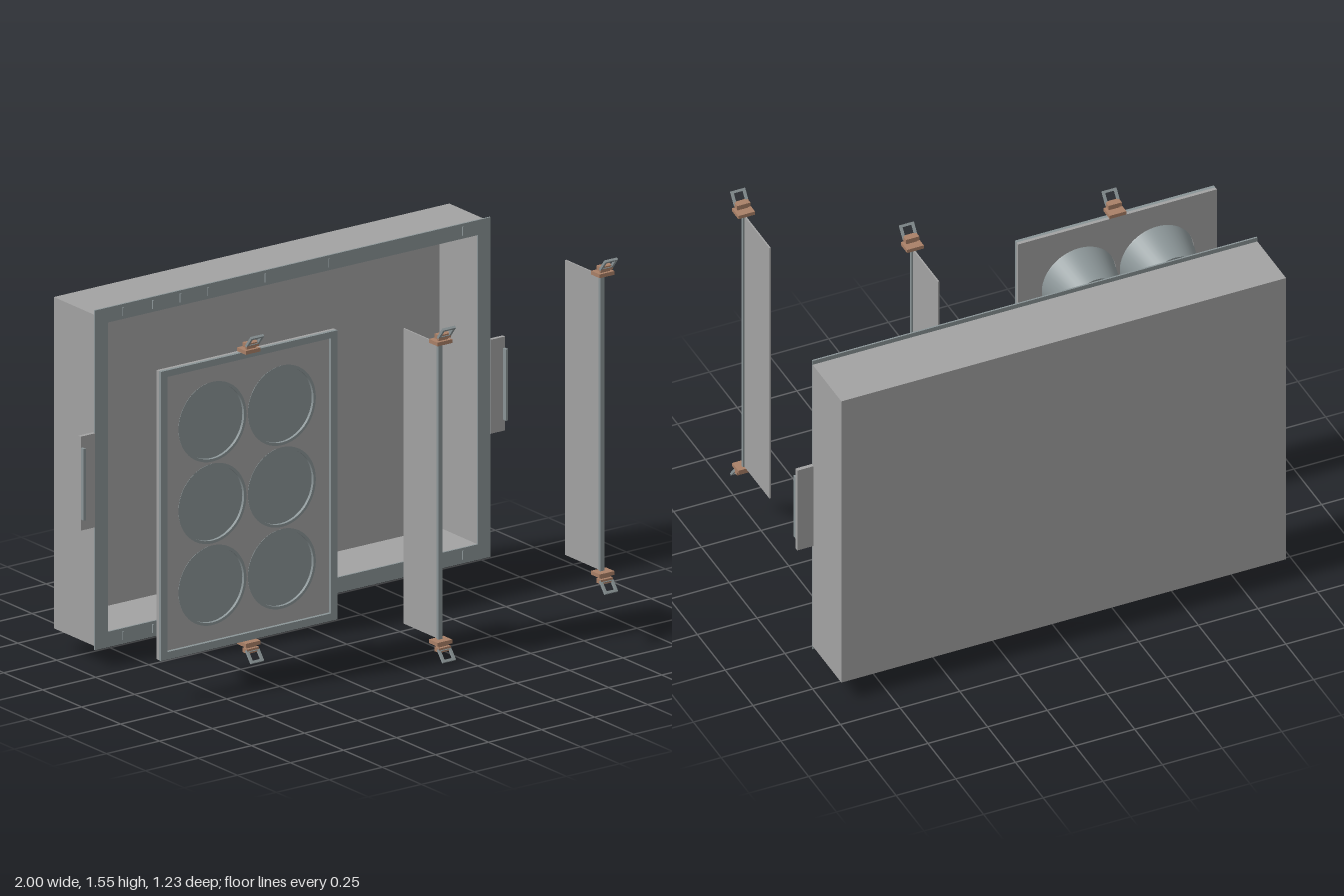
import * as THREE from 'three';

const grey = new THREE.MeshStandardMaterial({ color: 0xa2a2a2, flatShading: true });
const steel = new THREE.MeshStandardMaterial({ color: 0x8a9496, flatShading: true });
const cupSteel = new THREE.MeshStandardMaterial({ color: 0x8a9496, side: THREE.DoubleSide });
const copper = new THREE.MeshStandardMaterial({ color: 0xa98067, flatShading: true });

// Box given by its limits on each axis
function block(parent, name, [x0, x1], [y0, y1], [z0, z1], mat = grey) {
  const m = new THREE.Mesh(new THREE.BoxGeometry(x1 - x0, y1 - y0, z1 - z0), mat);
  m.position.set((x0 + x1) / 2, (y0 + y1) / 2, (z0 + z1) / 2);
  m.name = name;
  parent.add(m);
}

function rect(target, x0, x1, y0, y1) {
  target.moveTo(x0, y0);
  target.lineTo(x1, y0);
  target.lineTo(x1, y1);
  target.lineTo(x0, y1);
  target.closePath();
  return target;
}

// Plate with holes, extruded from z0 to z1
function plate(parent, name, outline, holes, z0, z1, mat) {
  outline.holes.push(...holes);
  const geo = new THREE.ExtrudeGeometry(outline, { depth: z1 - z0, bevelEnabled: false, curveSegments: 48 });
  const m = new THREE.Mesh(geo, mat);
  m.position.z = z0;
  m.name = name;
  parent.add(m);
}

const frame = (parent, name, outer, inner, z0, z1, mat) =>
  plate(parent, name, rect(new THREE.Shape(), ...outer), [rect(new THREE.Path(), ...inner)], z0, z1, mat);

// Clip with foot, neck, upper block and tilted wire loop; dir = 1 points up, -1 down
function clip(parent, x, y, z, dir) {
  const g = new THREE.Group();
  g.name = 'clip';
  const span = (a, b) => (dir > 0 ? [a, b] : [-b, -a]);
  block(g, 'clipFoot', [-0.035, 0.035], span(0, 0.015), [-0.028, 0.028], copper);
  block(g, 'clipNeck', [-0.022, 0.022], span(0.015, 0.026), [0.006, 0.016], copper);
  block(g, 'clipBlock', [-0.028, 0.028], span(0.024, 0.042), [-0.002, 0.028], copper);
  const loop = new THREE.Group();
  loop.name = 'wireLoop';
  const w = 0.005, h = 0.056;
  for (const s of [-1, 1]) {
    block(loop, 'loopSide', [s * 0.025 - w, s * 0.025 + w], [0, h], [-w, w], steel);
  }
  block(loop, 'loopEnd', [-0.025, 0.025], [h - 2 * w, h], [-w, w], steel);
  block(loop, 'loopRoot', [-0.025, 0.025], [0, 2 * w], [-w, w], steel);
  loop.position.set(0, dir * 0.03, 0.02);
  loop.rotation.x = dir > 0 ? 0.67 : Math.PI - 0.67;
  g.add(loop);
  g.position.set(x, y, z);
  parent.add(g);
}

function makeTray() {
  const g = new THREE.Group();
  g.name = 'tray';
  const opening = [-0.872, 0.872, 0.131, 1.372];
  block(g, 'trayBack', [-0.932, 0.932], [0.085, 1.414], [-0.612, -0.595]);
  frame(g, 'trayWalls', [-0.932, 0.932, 0.085, 1.414], opening, -0.595, -0.354, grey);
  frame(g, 'trayRim', [-0.932, 0.932, 0.069, 1.432], opening, -0.354, -0.347, steel);
  // Locating ribs along the top and bottom of the rim
  for (const x of [-0.8, -0.66, -0.53, -0.4, -0.13, 0.17, 0.8]) {
    for (const y of [0.085, 1.385]) {
      block(g, 'rimRib', [x - 0.003, x + 0.003], [y, y + 0.035], [-0.348, -0.342], steel);
    }
  }
  // Side handles with a forward lip
  for (const s of [-1, 1]) {
    const span = (a, b) => (s > 0 ? [a, b] : [-b, -a]);
    block(g, 'handlePlate', span(0.932, 1), [0.563, 0.94], [-0.362, -0.346]);
    block(g, 'handleLip', span(0.99, 1), [0.608, 0.895], [-0.346, -0.327], steel);
  }
  return g;
}

function makeCupPanel() {
  const g = new THREE.Group();
  g.name = 'cupPanel';
  const centres = [];
  for (const x of [-0.73, -0.403]) for (const y of [0.421, 0.749, 1.077]) centres.push([x, y]);
  const holes = centres.map(([x, y]) => new THREE.Path().absarc(x, y, 0.156, 0, Math.PI * 2, true));
  plate(g, 'panelSheet', rect(new THREE.Shape(), -0.981, -0.148, 0.17, 1.33), holes, 0.115, 0.129, grey);
  frame(g, 'panelFrame', [-0.981, -0.148, 0.17, 1.33], [-0.95, -0.18, 0.2, 1.304], 0.129, 0.143, steel);
  // Tapered cups: back face, wall, lip and recessed front face; separate lathes keep the edges sharp
  const profile = [[0, -0.046], [0.116, -0.046], [0.153, 0.114], [0.16, 0.132], [0.149, 0.132], [0.149, 0.12], [0, 0.12]];
  for (const [x, y] of centres) {
    const cup = new THREE.Group();
    cup.name = 'cup';
    for (let i = 0; i < profile.length - 1; i++) {
      const pts = [profile[i], profile[i + 1]].map((p) => new THREE.Vector2(...p));
      const m = new THREE.Mesh(new THREE.LatheGeometry(pts, 48), cupSteel);
      m.name = 'cupSurface';
      cup.add(m);
    }
    cup.rotation.x = Math.PI / 2;
    cup.position.set(x, y, 0);
    g.add(cup);
  }
  clip(g, -0.567, 1.33, 0.143, 1);
  clip(g, -0.567, 0.17, 0.143, -1);
  return g;
}

// Upright divider: thin sheet with a stiff front bar and a clip at each end
function makeDivider(x, y0, y1, z0, z1) {
  const g = new THREE.Group();
  g.name = 'divider';
  block(g, 'dividerSheet', [x - 0.003, x + 0.003], [y0, y1 - 0.006], [z0, z1 - 0.013]);
  block(g, 'dividerBar', [x - 0.01, x + 0.01], [y0, y1], [z1 - 0.013, z1], steel);
  clip(g, x, y1, z1 + 0.001, 1);
  clip(g, x, y0, z1 + 0.001, -1);
  return g;
}

export function createModel() {
  const model = new THREE.Group();
  model.name = 'modularTray';
  model.add(makeTray(), makeCupPanel());
  model.add(makeDivider(0.187, 0.078, 1.268, 0.112, 0.346));
  model.add(makeDivider(0.796, 0.288, 1.477, 0.32, 0.557));
  return model;
}
